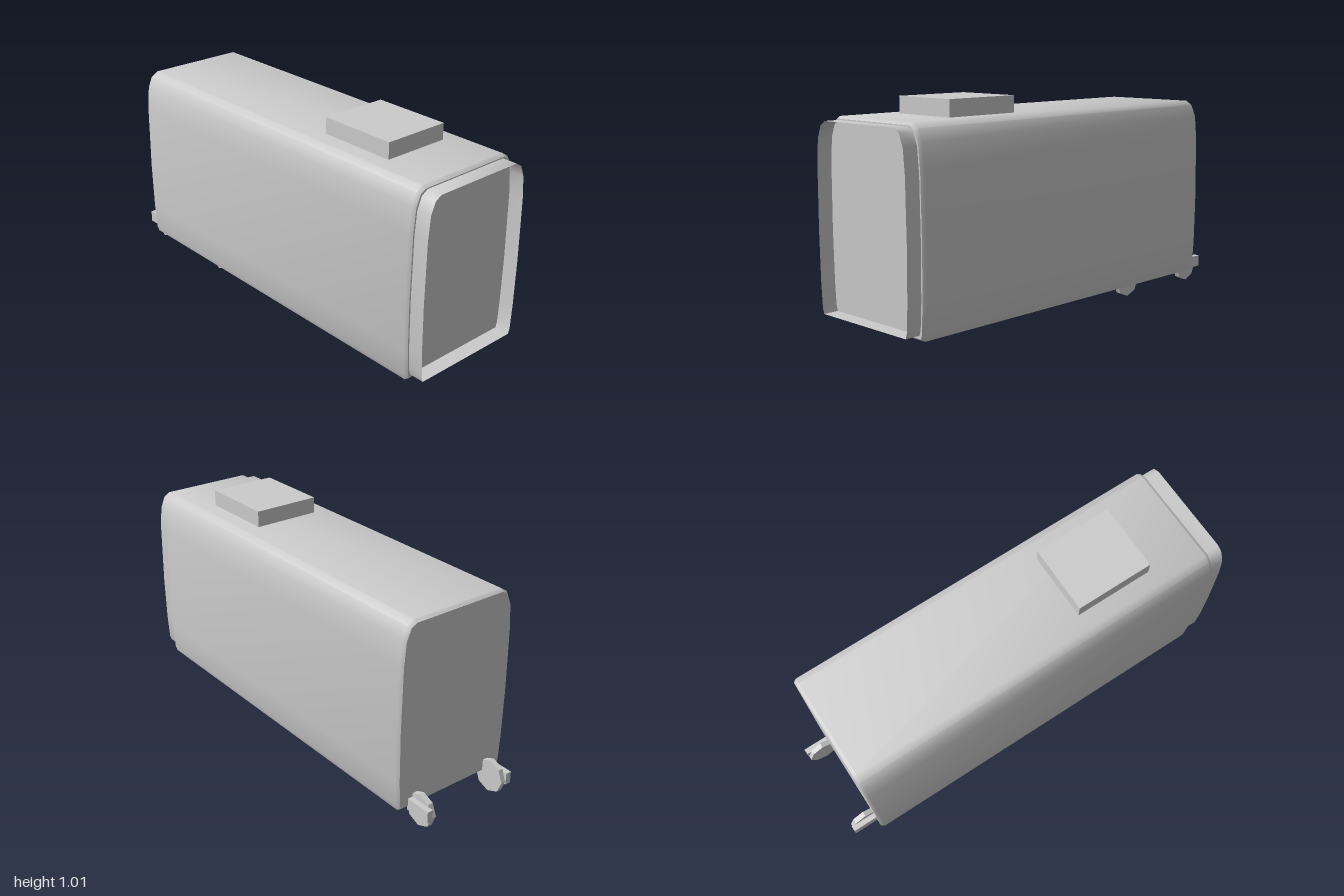
import * as THREE from 'three';
import { toCreasedNormals } from 'three/addons/utils/BufferGeometryUtils.js';

const grey = new THREE.MeshStandardMaterial({ color: 0xcccccc });
grey.name = 'light grey';
const greyOpen = new THREE.MeshStandardMaterial({ color: 0xcccccc, side: THREE.DoubleSide });
greyOpen.name = 'light grey sheet';

// right half of the cross-section, bottom to top
const HALF = [
  [0.285, 0.075], [0.293, 0.1], [0.3, 0.22], [0.304, 0.45], [0.3, 0.75],
  [0.29, 0.86], [0.267, 0.915], [0.235, 0.935],
];

function outline(half) {
  const mirrored = half.map(([x, y]) => [-x, y]).reverse();
  return [...half, ...mirrored].map(([x, y]) => new THREE.Vector2(x, y));
}

function add(group, name, geometry, x = 0, y = 0, z = 0, material = grey) {
  const mesh = new THREE.Mesh(geometry, material);
  mesh.name = name;
  mesh.position.set(x, y, z);
  group.add(mesh);
  return mesh;
}

// open sleeve swept along z from a closed outline
function sleeve(points, z0, z1) {
  const positions = [];
  points.forEach((a, i) => {
    const b = points[(i + 1) % points.length];
    positions.push(
      a.x, a.y, z0, b.x, b.y, z0, b.x, b.y, z1,
      a.x, a.y, z0, b.x, b.y, z1, a.x, a.y, z1);
  });
  const g = new THREE.BufferGeometry();
  g.setAttribute('position', new THREE.Float32BufferAttribute(positions, 3));
  g.computeVertexNormals();
  return toCreasedNormals(g, 0.75);
}

export function createModel() {
  const model = new THREE.Group();
  model.name = 'boxBody';

  // long rounded body with narrow bevels at both ends
  const body = new THREE.ExtrudeGeometry(new THREE.Shape(outline(HALF)), {
    depth: 1.78, bevelEnabled: true, bevelSegments: 1,
    bevelSize: 0.01, bevelThickness: 0.015, bevelOffset: -0.01,
  });
  add(model, 'body', toCreasedNormals(body, 0.75), 0, 0, -0.865);

  // open collar around the front panel
  const collar = HALF.map(([x, y]) => [x * 0.945, 0.1 + (y - 0.075) * 0.82 / 0.86]);
  add(model, 'frontCollar', sleeve(outline(collar), 0.92, 1), 0, 0, 0, greyOpen);

  // roof unit
  add(model, 'roofBox', new THREE.BoxGeometry(0.32, 0.09, 0.37), 0, 0.965, 0.475);

  // small eight-sided wheels and the rear brackets beside them
  for (const side of [-1, 1]) {
    for (const [name, z] of [['middleWheel', -0.44], ['rearWheel', -0.92]]) {
      const wheel = new THREE.CylinderGeometry(0.077, 0.077, 0.025, 8).toNonIndexed();
      wheel.rotateZ(Math.PI / 2);
      wheel.computeVertexNormals();
      add(model, name, wheel, side * 0.2025, 0.077, z);
    }
    add(model, 'rearBracket', new THREE.BoxGeometry(0.028, 0.055, 0.125), side * 0.226, 0.0925, -0.9375);
  }
  return model;
}
